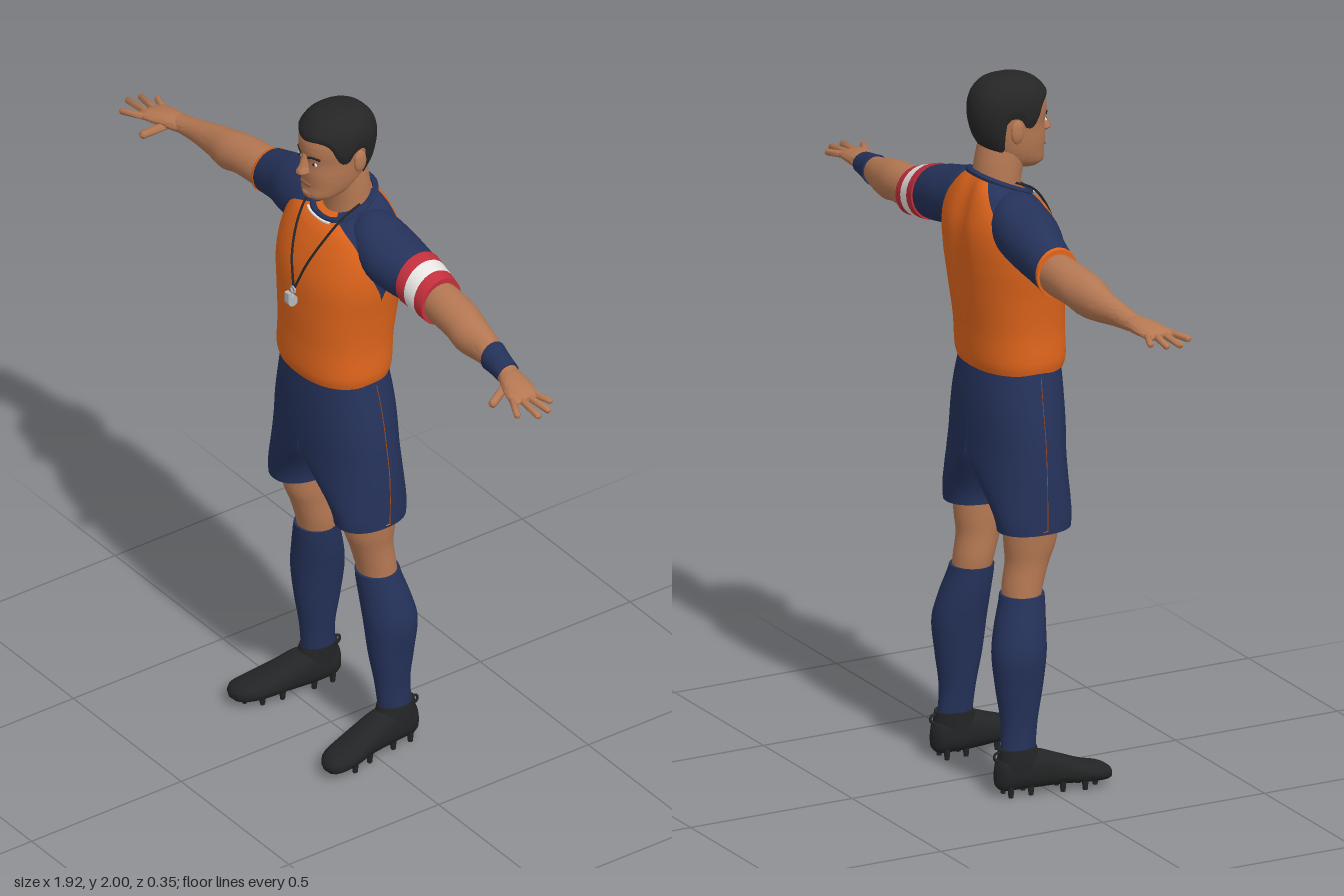
import * as THREE from 'three';
import { toCreasedNormals } from 'three/addons/utils/BufferGeometryUtils.js';

const colours = {
  skin: 0xb57853, lips: 0x8f553d, orange: 0xe0651c, navy: 0x25325a, hair: 0x262626,
  boot: 0x232425, red: 0xc22f3c, white: 0xf0eeea, silver: 0xb4b8be,
};

// Smoothly interpolated table row; the first column is the ascending key
function at(table, s) {
  const n = table.length - 1;
  s = Math.min(Math.max(s, table[0][0]), table[n][0]);
  let k = 0;
  while (k < n - 1 && s > table[k + 1][0]) k++;
  const a = table[k], b = table[k + 1], h = b[0] - a[0], t = (s - a[0]) / h;
  const p = table[Math.max(k - 1, 0)], q = table[Math.min(k + 2, n)];
  return a.map((v, c) => {
    if (c === 0) return s;
    const m0 = (b[c] - p[c]) / (b[0] - p[0]) * h, m1 = (q[c] - v) / (q[0] - a[0]) * h;
    const t2 = t * t, t3 = t2 * t;
    return (2 * t3 - 3 * t2 + 1) * v + (t3 - 2 * t2 + t) * m0 + (3 * t2 - 2 * t3) * b[c] + (t3 - t2) * m1;
  });
}
const se = (c, n) => Math.sign(c) * Math.pow(Math.abs(c), 2 / n);
const TAU = Math.PI * 2;

// Closed tube surface from fn(i, v), with flat end caps and optional material choice per column and row
function surface(nu, nv, fn, matOf) {
  const rows = [];
  for (let j = 0; j <= nv; j++) rows.push(Array.from({ length: nu }, (_, i) => fn(i, j / nv)));
  const pole = row => {
    const c = [0, 1, 2].map(k => row.reduce((sum, p) => sum + p[k], 0) / nu);
    return row.map(() => c);
  };
  rows.unshift(pole(rows[0]));
  rows.push(pole(rows[rows.length - 1]));
  const lists = [[], []];
  for (let j = 0; j < rows.length - 1; j++) for (let i = 0; i < nu; i++) {
    const a = j * nu + i, b = j * nu + (i + 1) % nu;
    lists[matOf ? matOf(i, j) : 0].push(a, a + nu, b, b, a + nu, b + nu);
  }
  const g = new THREE.BufferGeometry();
  g.setAttribute('position', new THREE.Float32BufferAttribute(rows.flat(2), 3));
  g.setIndex(lists.flat());
  if (matOf) {
    g.addGroup(0, lists[0].length, 0);
    g.addGroup(lists[0].length, lists[1].length, 1);
  }
  return g;
}

// Elliptical loft along an axis; table rows are [key, centre, centre, radius, radius]
function loft(axis, table, { from = table[0][0], to = table[table.length - 1][0], grow = 0, nu = 28, nv = 24, n = 2 } = {}) {
  return surface(nu, nv, (i, v) => {
    const s = from + (to - from) * v, [, c1, c2, r1, r2] = at(table, s);
    const c = se(Math.cos(i / nu * TAU), n), d = se(Math.sin(i / nu * TAU), n);
    const R1 = r1 + grow, R2 = r2 + grow;
    if (axis === 'y') return [c1 + R1 * c, s, c2 + R2 * d];
    if (axis === 'x') return [s, c1 + R1 * d, c2 + R2 * c];
    return [c1 + R1 * d, c2 + R2 * c, s];
  });
}

// Body tables: [y, half width, front z, back z, neckline tilt]
const TORSO = [[1.185, .17, .116, -.138, 0], [1.21, .176, .122, -.145, 0], [1.3, .175, .12, -.152, 0], [1.4, .185, .12, -.165, 0],
  [1.5, .2, .114, -.175, 0], [1.58, .2, .09, -.176, 0], [1.64, .178, .06, -.165, 0], [1.68, .128, .043, -.145, .022], [1.7, .084, .035, -.125, .035]];
const HEAD = [[1.735, .03, .068, 0], [1.75, .052, .084, -.04], [1.78, .067, .083, -.08], [1.82, .075, .086, -.105], [1.86, .079, .084, -.12],
  [1.9, .083, .09, -.126], [1.94, .081, .084, -.12], [1.97, .067, .062, -.1], [1.988, .042, .03, -.07], [1.994, .004, -.012, -.025]];
const PELVIS = [[.745, .226, .083, -.126], [.9, .222, .105, -.148], [1, .211, .112, -.15], [1.1, .192, .112, -.147], [1.21, .166, .108, -.132]];
const RAGLAN = [[1.47, 0], [1.5, .06], [1.56, .3], [1.62, .6], [1.66, .83], [1.7, .93]];
const SLEEVE = [[.05, 1.62, -.06, .06, .06], [.12, 1.615, -.06, .088, .08], [.2, 1.6, -.063, .084, .088], [.26, 1.588, -.07, .082, .08],
  [.3, 1.58, -.076, .077, .072], [.4, 1.554, -.081, .066, .061]];
const ARM = [[.36, 1.555, -.082, .056, .054], [.42, 1.552, -.08, .058, .057], [.5, 1.547, -.076, .055, .058], [.55, 1.537, -.07, .058, .055],
  [.62, 1.531, -.068, .047, .043], [.7, 1.526, -.058, .033, .032], [.77, 1.52, -.048, .023, .03]];

function bodyPoint(table, th, y, n, grow = 0) {
  const [, rx, zf, zb, tilt = 0] = at(table, y), d = se(Math.sin(th), n);
  return [(rx + grow) * se(Math.cos(th), n), y - tilt * d, (zf + zb) / 2 + ((zf - zb) / 2 + grow) * d];
}
function frontZ(table, x, y, n) {
  const [, rx, zf, zb] = at(table, y);
  return (zf + zb) / 2 + (zf - zb) / 2 * Math.pow(Math.max(0, 1 - Math.pow(Math.abs(x) / rx, n)), 1 / n);
}
// One half of the shorts: half the pelvis above, a separate leg below
function shortsPoint(th, y, grow = 0) {
  const [, rx, zf, zb] = at(PELVIS, y), c = se(Math.cos(th), 2.2), d = se(Math.sin(th), 2.2);
  const t = THREE.MathUtils.smoothstep(.97 - y, 0, .22);
  const x = (1 - t) * Math.max(0, rx * c) + t * (.151 + .076 * c);
  return [x + grow * c, y, (zf + zb) / 2 + (zf - zb) / 2 * d];
}

export function createModel() {
  const model = new THREE.Group();
  model.name = 'referee';
  const M = {};
  for (const [name, color] of Object.entries(colours)) {
    M[name] = new THREE.MeshStandardMaterial({ color });
    M[name].name = name;
  }
  const add = (name, geo, mat) => {
    const mesh = new THREE.Mesh(toCreasedNormals(geo, 1), mat);
    mesh.name = name;
    model.add(mesh);
  };
  // Adds a left part and its mirror image with reversed winding
  const pair = (name, geo, mat) => {
    const other = geo.clone().scale(-1, 1, 1), ix = other.index.array;
    for (let k = 0; k < ix.length; k += 3) [ix[k], ix[k + 1]] = [ix[k + 1], ix[k]];
    add(name + 'Left', geo, mat);
    add(name + 'Right', other, mat);
  };
  const ball = (x, y, z, sx, sy, sz) => new THREE.SphereGeometry(1, 16, 12).scale(sx, sy, sz).translate(x, y, z);
  const tube = (pts, r, closed = false) => new THREE.TubeGeometry(
    new THREE.CatmullRomCurve3(pts.map(p => new THREE.Vector3(...p)), closed), 40, r, 6, closed);
  const rod = (a, b, r) => {
    const A = new THREE.Vector3(...a), B = new THREE.Vector3(...b), dir = B.clone().sub(A);
    const g = new THREE.CapsuleGeometry(r, dir.length(), 4, 10);
    g.applyQuaternion(new THREE.Quaternion().setFromUnitVectors(new THREE.Vector3(0, 1, 0), dir.normalize()));
    const m = A.add(B).multiplyScalar(.5);
    return g.translate(m.x, m.y, m.z);
  };

  // Shirt: columns follow the raglan seams, so the colours meet along clean edges
  const F = 24, S = 10;
  add('shirt', surface(2 * (F + S), 44, (i, v) => {
    const y = 1.185 + .515 * v, w = Math.max(0, at(RAGLAN, y)[1]);
    const half = i >= F + S ? 1 : 0, k = i - half * (F + S);
    const th = half * Math.PI + (k < S ? -w + 2 * w * k / S : w + (Math.PI - 2 * w) * (k - S) / F);
    const p = bodyPoint(TORSO, th, y, 2.3);
    if (p[2] < -.06) p[2] += .012 * Math.exp(-((p[0] / .035) ** 2)) * THREE.MathUtils.smoothstep(y, 1.3, 1.5);
    return p;
  }, i => (i % (F + S) < S ? 1 : 0)), [M.orange, M.navy]);
  const neckline = (y, a, b, count) => Array.from({ length: count }, (_, k) => bodyPoint(TORSO, a + (b - a) * k / count, y, 2.3));
  add('collar', tube(neckline(1.7, 0, TAU, 24), .009, true), M.navy);
  add('collarStripe', tube(neckline(1.693, 1.1, 2.2, 12).map(p => [p[0], p[1], p[2] + .008]), .004), M.white);
  pair('sleeve', loft('x', SLEEVE, { to: .388 }), M.navy);
  pair('sleeveTrim', loft('x', SLEEVE, { from: .385, to: .394, grow: .002, nv: 2 }), M.orange);

  // Armband and wristband on the left arm only
  [['red', .302, .332], ['white', .332, .37], ['red', .37, .4]].forEach(([c, from, to], k) =>
    add('armband' + (k + 1), loft('x', SLEEVE, { from, to, grow: .005, nv: 4 }), M[c]));
  add('wristband', loft('x', ARM, { from: .665, to: .752, grow: .005, nv: 6 }), M.navy);

  // Arms and hands
  pair('arm', loft('x', ARM), M.skin);
  pair('palm', loft('x', [[.74, 1.52, -.05, .02, .028], [.78, 1.52, -.042, .022, .037], [.83, 1.517, -.031, .018, .045],
    [.865, 1.513, -.024, .013, .043], [.878, 1.512, -.022, .006, .034]]), M.skin);
  [[-.056, .908, -.076], [-.035, .942, -.046], [-.012, .95, -.008], [.008, .915, .036]].forEach(([z, tx, tz], k) =>
    pair('finger' + (k + 1), rod([.852, 1.514, z], [tx, 1.508, tz], .0095), M.skin));
  pair('thumb', rod([.785, 1.514, -.02], [.81, 1.492, .042], .012), M.skin);

  // Shorts with side stripes
  pair('shorts', surface(48, 36, (i, v) => shortsPoint(i / 48 * TAU, .745 + .465 * v)), M.navy);
  const stripe = [.05, .05, -.05, -.05];
  pair('shortsStripe', surface(4, 30, (i, v) =>
    shortsPoint(stripe[i] - .04, .755 + .425 * v, i === 1 || i === 2 ? .004 : -.003).map((c, k) => c), null)
    , M.orange);

  // Legs and socks
  pair('knee', loft('y', [[.5, .146, -.06, .052, .05], [.58, .138, -.05, .058, .056], [.65, .138, -.035, .058, .062],
    [.7, .14, -.028, .062, .074], [.82, .146, -.025, .066, .085]]), M.skin);
  pair('sock', loft('y', [[.09, .18, -.088, .037, .05], [.2, .174, -.08, .043, .052], [.3, .171, -.078, .056, .067], [.4, .169, -.077, .069, .077],
    [.47, .157, -.068, .069, .072], [.54, .144, -.055, .062, .064], [.56, .141, -.053, .06, .062]]), M.navy);

  // Boots with ankle collar, heel loop and studs
  pair('boot', loft('z', [[-.155, .18, .06, .012, .028], [-.14, .18, .066, .032, .048], [-.09, .18, .068, .042, .053], [-.03, .185, .068, .046, .053],
    [.03, .193, .059, .049, .042], [.1, .206, .046, .053, .03], [.15, .215, .041, .044, .024], [.17, .219, .037, .027, .016], [.178, .22, .036, .008, .006]],
  { n: 2.4, nv: 32 }), M.boot);
  pair('bootCollar', loft('y', [[.06, .181, -.08, .044, .07], [.1, .181, -.084, .044, .063], [.135, .179, -.088, .042, .056]], { nv: 8 }), M.boot);
  pair('heelLoop', new THREE.TorusGeometry(.012, .004, 6, 14).rotateY(Math.PI / 2).translate(.18, .115, -.148), M.boot);
  [[.158, -.12], [.202, -.12], [.16, -.06], [.206, -.06], [.168, .04], [.222, .03], [.178, .1], [.238, .09], [.212, .135]].forEach(([x, z], k) =>
    pair('stud' + (k + 1), new THREE.CylinderGeometry(.01, .007, .03, 8).translate(x, .015, z), M.boot));

  // Neck and head
  add('neck', loft('y', [[1.62, 0, -.05, .07, .06], [1.7, 0, -.054, .069, .066], [1.76, 0, -.045, .067, .07], [1.81, 0, -.03, .064, .075]]), M.skin);
  add('head', surface(40, 40, (i, v) => bodyPoint(HEAD, i / 40 * TAU, 1.735 + .259 * v, 2.2)), M.skin);
  pair('ear', ball(.086, 1.86, -.036, .009, .034, .02).rotateY(0), M.skin);
  add('nose', loft('y', [[1.822, 0, .086, .01, .01], [1.83, 0, .09, .018, .023], [1.85, 0, .085, .012, .02], [1.885, 0, .08, .009, .011]]), M.skin);

  // Hair: a shell over the skull whose lower edge follows the hairline, by angle from the front
  const HAIRLINE = [[0, 1.932], [.6, 1.936], [.95, 1.92], [1.2, 1.87], [1.45, 1.865], [1.62, 1.895], [1.95, 1.885], [2.15, 1.81], [2.6, 1.795], [Math.PI, 1.79]];
  add('hair', surface(64, 24, (i, v) => {
    const th = i / 64 * TAU, fromFront = Math.abs(Math.atan2(Math.cos(th), Math.sin(th)));
    const low = at(HAIRLINE, fromFront)[1];
    const p = bodyPoint(HEAD, th, low + (1.994 - low) * v, 2.2, .003 + .005 * Math.min(1, v * 5));
    p[1] += .006 * v;
    return p;
  }), M.hair);

  // Face
  const fz = (x, y) => frontZ(HEAD, x, y, 2.2);
  pair('eye', ball(.032, 1.864, fz(.032, 1.864), .012, .005, .004), M.white);
  pair('iris', ball(.032, 1.864, fz(.032, 1.864) + .002, .005, .005, .004), M.hair);
  pair('eyebrow', tube([.014, .03, .05].map((x, k) => [x, [1.88, 1.886, 1.882][k], fz(x, 1.884)]), .004), M.hair);
  add('mouth', ball(0, 1.79, fz(0, 1.79), .026, .006, .006), M.lips);
  add('chin', ball(0, 1.757, .07, .026, .018, .018), M.skin);

  // Whistle on a cord
  const onChest = (x, y) => [x, y, frontZ(TORSO, x, y, 2.3) + .005];
  pair('cord', tube([[.08, 1.715, -.04], [.078, 1.69, .015], onChest(.062, 1.63), onChest(.034, 1.55), onChest(.003, 1.465)], .0035), M.hair);
  add('whistleRing', new THREE.TorusGeometry(.009, .003, 6, 16).translate(0, 1.458, .126), M.silver);
  add('whistleBody', new THREE.CylinderGeometry(.016, .016, .02, 20).rotateZ(Math.PI / 2).translate(0, 1.427, .132), M.silver);
  add('whistleMouthpiece', new THREE.BoxGeometry(.018, .028, .012).translate(0, 1.441, .142), M.silver);
  return model;
}
